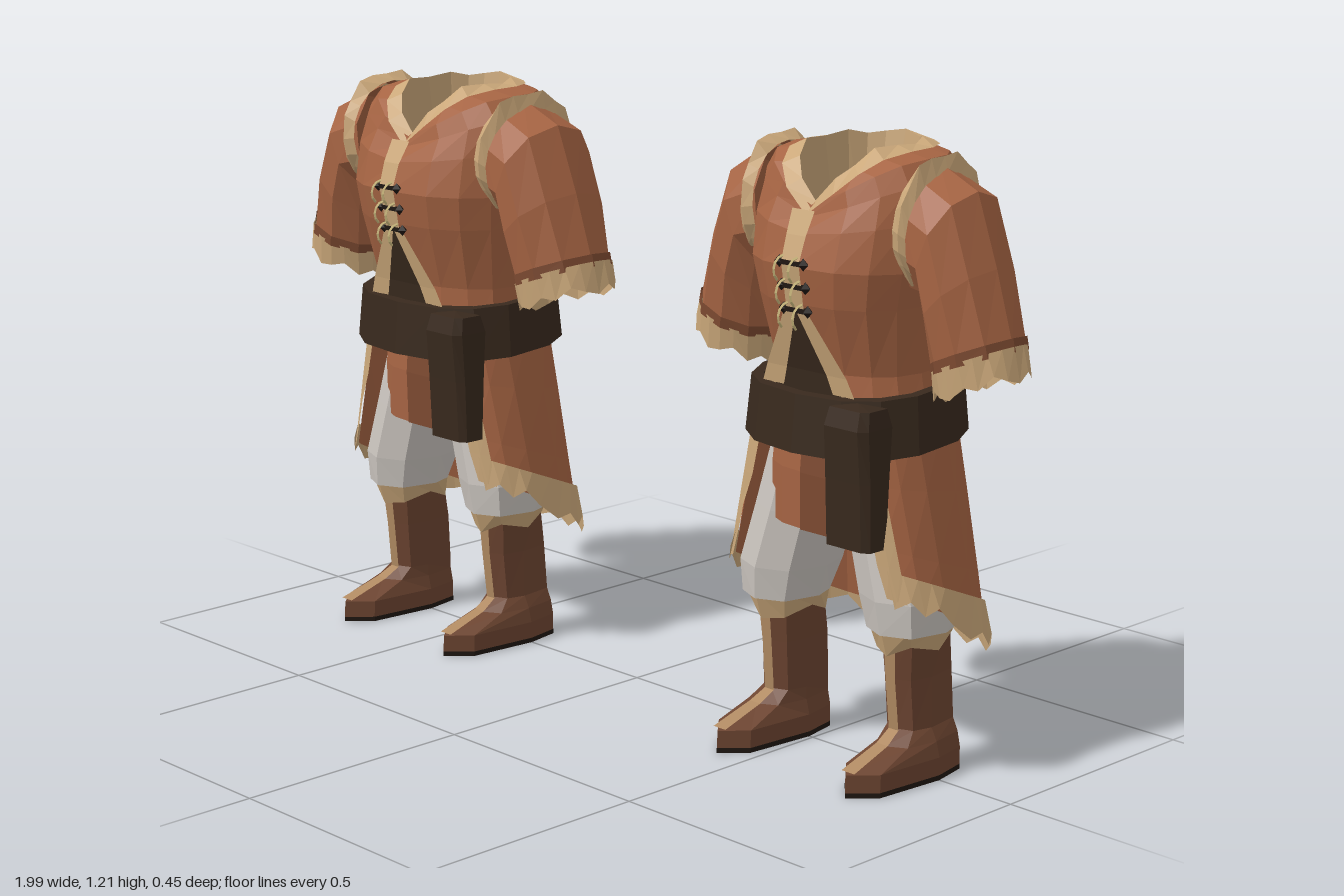
import * as THREE from 'three';

const mat = (color) => new THREE.MeshStandardMaterial({ color, flatShading: true, side: THREE.DoubleSide });
const M = {
  leather: mat(0xa66443), shade: mat(0x7d4a31), fur: mat(0xcba87a), trim: mat(0xb08a62), lining: mat(0xc4a276),
  belt: mat(0x38291d), boot: mat(0x6d4531), sole: mat(0x1f1712), cloth: mat(0xcbc5bf), bone: mat(0xd2bf82),
};
const V = (x, y, z) => new THREE.Vector3(x, y, z);
const pow = (v, p) => Math.sign(v) * Math.abs(v) ** p;
const JAG = [0, 0.022, 0.006, 0.03, 0.012];

// Skin a surface over rows of points (bottom row first)
function loft(name, rows, material) {
  const n = rows[0].length, idx = [];
  for (let r = 0; r < rows.length - 1; r++)
    for (let i = 0; i < n - 1; i++) {
      const a = r * n + i;
      idx.push(a, a + 1, a + n + 1, a, a + n + 1, a + n);
    }
  const g = new THREE.BufferGeometry().setFromPoints(rows.flat());
  g.setIndex(idx);
  g.computeVertexNormals();
  const m = new THREE.Mesh(g, material);
  m.name = name;
  return m;
}

// Horizontal squarish ring; angle 0 is the front and runs towards +x; drop cuts a V in front
function ring(y, rx, zf, zb, { n = 16, a0 = 0, a1 = Math.PI * 2, drop = 0, cx = 0 } = {}) {
  return Array.from({ length: n + 1 }, (_, i) => {
    const a = a0 + (a1 - a0) * i / n, c = Math.cos(a), s = pow(Math.sin(a), 0.8);
    return V(cx + rx * s, y - (c > 0 ? drop * (1 - Math.abs(s) ** 1.25) : 0), pow(c, 0.8) * (c > 0 ? zf : zb));
  });
}

// Ring round the arm, given its outer and inner points
function armRing([ox, oy, ix, iy, rz, jag = 0], n) {
  return Array.from({ length: n + 1 }, (_, i) => {
    const a = i / n * Math.PI * 2, t = 0.5 + 0.5 * Math.cos(a), j = jag * JAG[(i % n) % 5];
    return V(ix + (ox - ix) * t, iy + (oy - iy) * t + j, -rz * Math.sin(a));
  });
}

// Flat ribbon through [x, y, z, halfWidth] points
function ribbon(name, pts, material) {
  return loft(name, pts.map(([x, y, z, w]) => [V(x - w, y, z), V(x + w, y, z)]), material);
}

function torso(o) {
  const g = new THREE.Group();
  g.name = 'torso';
  g.add(loft('coatBody', o.torso.map(([y, rx, zf, zb, drop]) => ring(y, rx, zf, zb, { drop })), M.leather));
  // Fur collar and neck lining
  const neck = ring(1.193, 0.09, 0.122, 0.125, { drop: 0.095 });
  const edge = ring(1.189, 0.125, 0.148, 0.15, { drop: 0.115 });
  neck.forEach((p, i) => { p.y += JAG[i % 16 % 5] * 0.4; });
  g.add(loft('furCollar', [edge, neck], M.fur));
  g.add(loft('neckLining', [ring(0.99, 0.001, 0.001, 0.001), ring(1.0, 0.06, 0.08, 0.08), neck], M.lining));
  // Front trim, parting below the fastenings over the darker underlayer
  const [w, c] = [o.waistZ, o.chestZ];
  g.add(ribbon('frontTrim', [[0, 0.9, c - 0.006, 0.022], [0, 0.99, c + 0.01, 0.022], [0, 1.04, c - 0.006, 0.024], [0, 1.085, 0.154, 0.028]], M.fur));
  g.add(ribbon('underlayer', [[0, 0.72, w + 0.008, 0.09], [0, 0.78, w + 0.012, 0.07], [0, 0.9, c - 0.011, 0.004]], M.belt));
  for (const s of [-1, 1])
    g.add(ribbon('flaredTrim', [[s * 0.098, 0.72, w + 0.006, 0.028], [s * 0.075, 0.78, w + 0.015, 0.025],
      [s * 0.014, 0.9, c - 0.007, 0.014]], M.fur));
  // Toggles with hanging curved bone claws
  for (const y of [0.99, 0.945, 0.9]) {
    const z = c + 0.006 - (0.99 - y) * 0.15;
    for (const s of [-1, 1]) {
      const bead = new THREE.Mesh(new THREE.OctahedronGeometry(0.012), M.sole);
      bead.name = 'toggleBead';
      bead.position.set(s * 0.03, y, z);
      const claw = new THREE.Mesh(new THREE.TorusGeometry(0.024, 0.003, 4, 5, Math.PI * 0.8), M.bone);
      claw.name = 'toggleClaw';
      claw.rotation.set(0, -Math.PI / 2, -Math.PI * 0.3);
      claw.position.set(s * 0.018, y - 0.012, z + 0.004);
      g.add(bead, claw);
    }
    const cord = new THREE.Mesh(new THREE.BoxGeometry(0.06, 0.009, 0.009), M.sole);
    cord.name = 'toggleCord';
    cord.position.set(0, y, z);
    g.add(cord);
  }
  g.add(ribbon('backTrim', o.torso.slice(0, -1).map(([y, , , zb]) => [0, y, -zb - 0.006, 0.014]), M.trim));
  return g;
}

function sleeve(s) {
  const g = new THREE.Group();
  g.name = s > 0 ? 'leftSleeve' : 'rightSleeve';
  // Each ring: outer x, y, inner x, y, half depth, raggedness
  const parts = [
    ['upperSleeve', M.leather, 10, [[0.42, 0.87, 0.245, 0.8, 0.11], [0.375, 1.0, 0.234, 0.88, 0.124],
      [0.32, 1.135, 0.225, 0.93, 0.124], [0.215, 1.178, 0.19, 0.93, 0.112]]],
    ['cuffBand', M.shade, 10, [[0.429, 0.855, 0.243, 0.79, 0.113], [0.422, 0.88, 0.24, 0.81, 0.114]]],
    ['furCuff', M.fur, 20, [[0.443, 0.8, 0.248, 0.735, 0.104, 0.8], [0.426, 0.865, 0.245, 0.795, 0.11]]],
    ['cuffLining', M.lining, 10, [[0.335, 0.81, 0.334, 0.81, 0.001], [0.425, 0.84, 0.255, 0.775, 0.102]]],
    ['shoulderFur', M.fur, 20, [[0.24, 1.162, 0.226, 0.94, 0.122], [0.23, 1.19, 0.212, 0.93, 0.132, 0.5], [0.205, 1.178, 0.19, 0.95, 0.122]]],
  ];
  for (const [name, m, n, rows] of parts) g.add(loft(name, rows.map((r) => armRing(r, n)), m));
  g.scale.x = s;
  return g;
}

// Open-fronted coat skirt whose hem falls towards the back
function skirt(sx) {
  const g = new THREE.Group();
  g.name = 'coatSkirt';
  const rows = (ts, off, from, to, n, jag = 0) => ts.map((t, r) => {
    const a0 = 0.62 + 0.22 * t;
    const p = ring(0, (0.2 + 0.07 * t) * sx + off, 0.15 + 0.012 * t + off, 0.155 + 0.06 * t + off, { n, a0: from(a0), a1: to(a0) });
    p.forEach((q, i) => {
      const hem = 0.31 + 0.5 * q.z;
      q.y = 0.7 + (hem - 0.7) * t + (r === 0 ? jag * JAG[i % 5] : 0);
    });
    return p;
  });
  const end = Math.PI * 2, steps = [0.98, 0.8, 0.65, 0.45, 0.3, 0.15, 0];
  const wave = (a) => a - 0.12 + 0.06 * Math.sin(a * 190);
  g.add(loft('skirtPanels', rows([0.95, 0.7, 0.35, 0], 0, (a) => a, (a) => end - a, 14), M.leather));
  g.add(loft('furHem', rows([1.03, 0.82], 0.006, (a) => a, (a) => end - a, 28, 1.1), M.fur));
  g.add(loft('leftFrontFur', rows(steps, 0.006, wave, (a) => a + 0.15, 2), M.fur));
  g.add(loft('rightFrontFur', rows(steps, 0.006, (a) => end - a - 0.15, (a) => end - wave(a), 2), M.fur));
  g.add(loft('backSeam', rows([0.85, 0.4, 0], 0.006, () => Math.PI - 0.03, () => Math.PI + 0.03, 2), M.trim));
  // Shorter tunic worn beneath
  g.add(loft('underTunic', [ring(0.468, 0.17 * sx, 0.127, 0.1), ring(0.58, 0.17 * sx, 0.13, 0.11), ring(0.7, 0.16 * sx, 0.12, 0.11)], M.leather));
  g.add(ribbon('tunicPleat', [[0.03, 0.468, 0.13, 0.05], [0.03, 0.58, 0.133, 0.05], [0.03, 0.7, 0.123, 0.05]], M.shade));
  return g;
}

function belt(rx) {
  const g = new THREE.Group();
  g.name = 'belt';
  const rows = [[0.645, -0.03], [0.645, 0.002], [0.755, -0.008], [0.755, -0.03]].map(([y, d]) => {
    const p = ring(y, rx + d, 0.178 + d, 0.18 + d, { n: 14 });
    p.forEach((q) => { q.y -= q.z * 0.08; });
    return p;
  });
  g.add(loft('beltBand', rows, M.belt));
  // Belt end folded over and hanging down
  g.add(loft('strapEnd', [[0.47, 0, 0], [0.47, 0.05, 0.026], [0.6, 0.05, 0.032], [0.7, 0.048, 0.04], [0.735, 0.044, 0.03], [0.742, 0, 0]].map(([y, dx, dz]) =>
    [[-1, -1], [1, -1], [1, 0.6], [0.7, 1], [-1, 1], [-1, -1]].map(([x, z]) => V(rx - 0.073 + x * dx, y, 0.145 + z * dz))), M.belt));
  return g;
}

function leg(s) {
  const g = new THREE.Group();
  g.name = s > 0 ? 'leftLeg' : 'rightLeg';
  const stack = (name, m, rows) => {
    const mesh = loft(name, rows.map(([y, rx, zf, zb, cx = 0.168]) => ring(y, rx, zf, zb, { n: 8, cx })), m);
    g.add(mesh);
    return mesh;
  };
  stack('trouserLeg', M.cloth, [[0.295, 0.074, 0.105, 0.065, 0.162], [0.36, 0.086, 0.112, 0.09, 0.155], [0.48, 0.083, 0.108, 0.1, 0.12], [0.6, 0.08, 0.1, 0.1, 0.09]]);
  const cuff = stack('furBootTop', M.fur, [[0.25, 0.056, 0.085, 0.07, 0.162], [0.31, 0.072, 0.104, 0.07, 0.162]]).geometry.attributes.position;
  for (let i = 0; i < 9; i++) cuff.setY(i, cuff.getY(i) + JAG[i % 8 % 5]);
  stack('boot', M.boot, [[0.006, 0.058, 0.2, 0.1], [0.045, 0.058, 0.198, 0.1], [0.075, 0.05, 0.09, 0.099],
    [0.1, 0.043, 0.054, 0.098, 0.162], [0.2, 0.043, 0.064, 0.09, 0.16], [0.3, 0.052, 0.075, 0.065, 0.162]]);
  stack('sole', M.sole, [[0, 0.001, 0.001, 0.001], [0, 0.059, 0.2, 0.1], [0.01, 0.059, 0.2, 0.1]]);
  g.add(ribbon('bootStripe', [[0.168, 0.05, 0.193, 0.016], [0.166, 0.08, 0.096, 0.014], [0.162, 0.1, 0.06, 0.012], [0.16, 0.2, 0.07, 0.012], [0.162, 0.28, 0.078, 0.014]], M.trim));
  g.scale.x = s;
  return g;
}

function outfit(name, o) {
  const g = new THREE.Group();
  g.name = name;
  g.add(torso(o), skirt(o.skirt), belt(o.belt));
  for (const s of [-1, 1]) {
    const arm = sleeve(s);
    arm.scale.x *= o.arm;
    arm.scale.z = o.armDepth;
    g.add(arm, leg(s));
  }
  g.position.x = o.x;
  return g;
}

export function createModel() {
  const model = new THREE.Group();
  model.name = 'furTrimmedOutfits';
  // Torso rings: height, half width, front depth, back depth, front drop
  model.add(outfit('broadOutfit', {
    x: -0.555, arm: 1, armDepth: 1, belt: 0.232, skirt: 1, waistZ: 0.135, chestZ: 0.186,
    torso: [[0.68, 0.2, 0.135, 0.15, 0], [0.78, 0.195, 0.135, 0.137, 0], [0.91, 0.213, 0.174, 0.166, 0], [0.98, 0.223, 0.186, 0.2, 0],
      [1.07, 0.223, 0.168, 0.2, 0.03], [1.14, 0.217, 0.143, 0.174, 0.07], [1.18, 0.18, 0.135, 0.145, 0.09], [1.19, 0.1, 0.125, 0.13, 0.1]],
  }));
  model.add(outfit('slimOutfit', {
    x: 0.6, arm: 0.885, armDepth: 0.88, belt: 0.208, skirt: 0.96, waistZ: 0.125, chestZ: 0.179,
    torso: [[0.68, 0.18, 0.13, 0.15, 0], [0.78, 0.16, 0.125, 0.13, 0], [0.91, 0.176, 0.168, 0.145, 0], [0.98, 0.192, 0.179, 0.165, 0],
      [1.07, 0.196, 0.162, 0.18, 0.03], [1.14, 0.19, 0.14, 0.165, 0.07], [1.18, 0.165, 0.134, 0.14, 0.09], [1.19, 0.1, 0.125, 0.13, 0.1]],
  }));
  return model;
}
